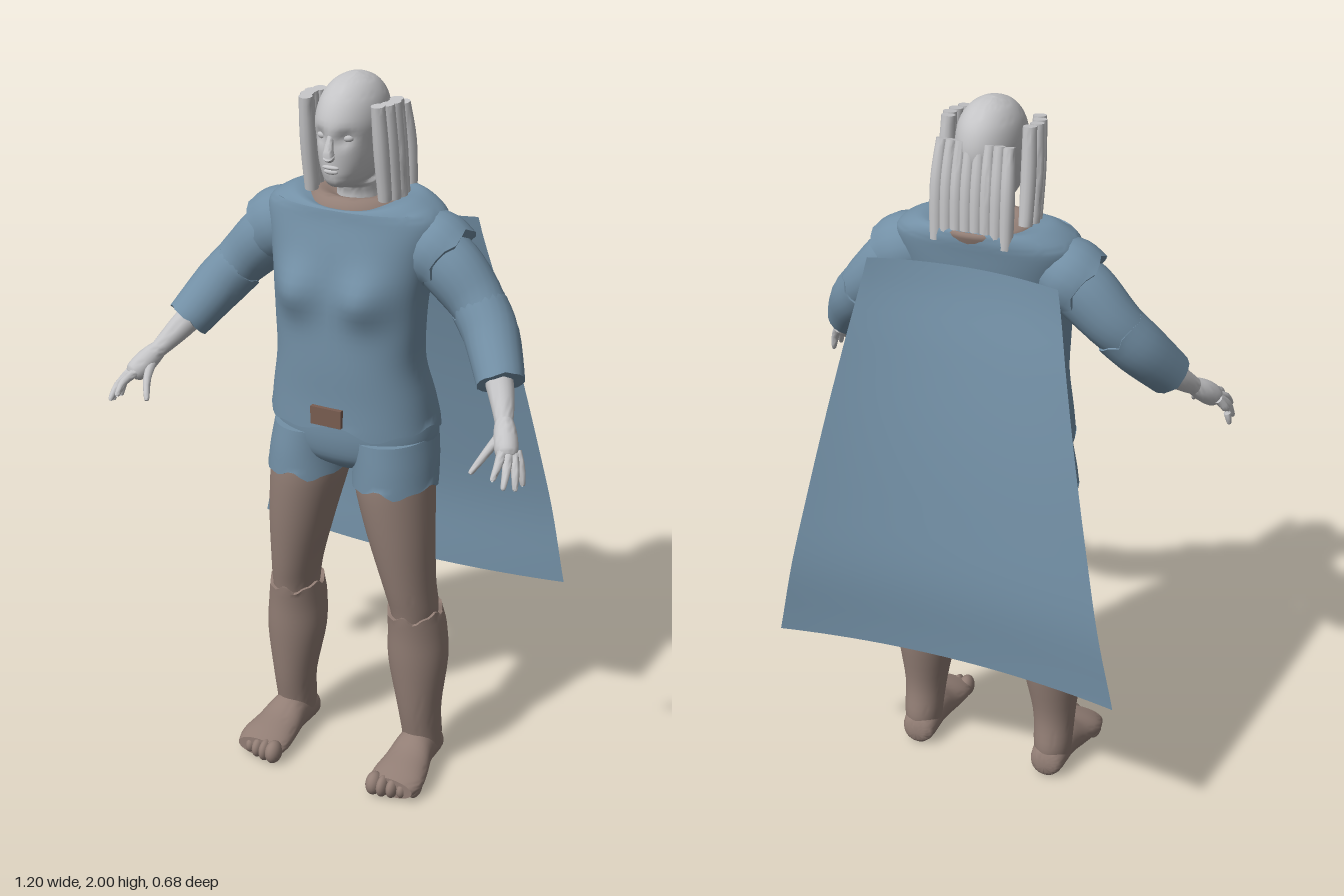
import * as THREE from 'three';
import { toCreasedNormals } from 'three/addons/utils/BufferGeometryUtils.js';

const material = (name, color) => {
  const m = new THREE.MeshStandardMaterial({ color, side: THREE.DoubleSide });
  m.name = name;
  return m;
};
const V = (x, y, z) => new THREE.Vector3(x, y, z);

// Catmull-Rom resampling of rows of numbers, n steps between rows
function smoothRows(rows, n) {
  const out = [];
  const at = (i) => rows[Math.min(rows.length - 1, Math.max(0, i))];
  for (let i = 0; i < rows.length - 1; i++) {
    for (let k = 0; k < n; k++) {
      const t = k / n;
      out.push(rows[i].map((b, j) => {
        const a = at(i - 1)[j], c = at(i + 1)[j], d = at(i + 2)[j];
        return b + 0.5 * t * (c - a + t * (2 * a - 5 * b + 4 * c - d + t * (3 * (b - c) + d - a)));
      }));
    }
  }
  out.push(rows[rows.length - 1]);
  return out;
}

// Skin over closed rings of points
function skin(rings, capped) {
  const n = rings[0].length, pos = [], idx = [];
  rings.forEach((r) => r.forEach((p) => pos.push(p.x, p.y, p.z)));
  for (let i = 0; i < rings.length - 1; i++) {
    for (let j = 0; j < n; j++) {
      const a = i * n + j, b = i * n + (j + 1) % n;
      idx.push(a, a + n, b, b, a + n, b + n);
    }
  }
  if (capped) {
    [0, rings.length - 1].forEach((e, top) => {
      const c = rings[e].reduce((s, p) => s.add(p), V(0, 0, 0)).divideScalar(n);
      const ci = pos.length / 3;
      pos.push(c.x, c.y, c.z);
      for (let j = 0; j < n; j++) {
        const a = e * n + j, b = e * n + (j + 1) % n;
        idx.push(ci, top ? b : a, top ? a : b);
      }
    });
  }
  const g = new THREE.BufferGeometry();
  g.setAttribute('position', new THREE.Float32BufferAttribute(pos, 3));
  g.setIndex(idx);
  return toCreasedNormals(g, 0.9);
}

// Upright body: rows of [y, centre x, half width, front z, back z], bottom to top
function loft(rows, { seg = 40, power = 1, capped = true, deform } = {}) {
  const soft = (v) => Math.sign(v) * Math.abs(v) ** power;
  const rs = smoothRows(rows, 4);
  return skin(rs.map(([y, c, r, f, b], i) => Array.from({ length: seg }, (_, j) => {
    const a = j / seg * Math.PI * 2;
    const p = V(c + r * soft(Math.cos(a)), y, (f + b) / 2 + (f - b) / 2 * soft(Math.sin(a)));
    if (deform) deform(p, a, i / (rs.length - 1));
    return p;
  })), capped);
}

// Round limb through rows of [x, y, z, radius], with optional ragged ends
function limb(rows, { seg = 20, steps = 4, ragStart = 0, ragEnd = 0 } = {}) {
  const rs = smoothRows(rows, steps), P = rs.map((r) => V(r[0], r[1], r[2]));
  const last = rs.length - 1;
  return skin(rs.map((r, i) => {
    const T = P[Math.min(last, i + 1)].clone().sub(P[Math.max(0, i - 1)]).normalize();
    const u = (Math.abs(T.y) > 0.9 ? V(1, 0, 0) : V(0, 1, 0)).cross(T).normalize();
    const w = u.clone().cross(T);
    const rag = i === 0 ? ragStart : i === last ? ragEnd : 0;
    return Array.from({ length: seg }, (_, j) => {
      const a = j / seg * Math.PI * 2;
      return P[i].clone().addScaledVector(u, Math.cos(a) * r[3]).addScaledVector(w, Math.sin(a) * r[3])
        .addScaledVector(T, rag * ragged(a));
    });
  }), true);
}
const ragged = (a) => 0.6 * Math.sin(5 * a) + 0.4 * Math.sin(9 * a + 1);

export function createModel() {
  const root = new THREE.Group();
  root.name = 'cloakedFigure';
  const skinMat = material('pale grey', 0xc4c4c6);
  const cloth = material('slate blue', 0x7390a6);
  const leather = material('dusty brown', 0x927e75);
  const buckleMat = material('dark brown', 0x795d51);
  const add = (name, geo, mat) => {
    const m = new THREE.Mesh(geo, mat);
    m.name = name;
    root.add(m);
    return m;
  };
  const ball = (name, mat, x, y, z, sx, sy, sz) => {
    const m = add(name, new THREE.SphereGeometry(1, 20, 14), mat);
    m.position.set(x, y, z);
    m.scale.set(sx, sy, sz);
    return m;
  };

  // Head and neck, with sockets hollowed into the face
  add('head', loft([
    [1.64, 0, .065, .05, -.085], [1.70, 0, .054, .052, -.075], [1.718, 0, .052, .07, -.07],
    [1.728, 0, .044, .12, -.07], [1.75, 0, .058, .138, -.073], [1.79, 0, .072, .143, -.085],
    [1.84, 0, .081, .145, -.104], [1.89, 0, .086, .148, -.111], [1.94, 0, .077, .127, -.098],
    [1.975, 0, .055, .092, -.068], [1.993, 0, .028, .05, -.03], [2, 0, .004, .014, .006],
  ], {
    deform: (p) => {
      if (p.z > 0.05) p.z -= 0.018 * Math.exp(-((Math.abs(p.x) - .034) ** 2 / .0003 + (p.y - 1.858) ** 2 / .0003));
    },
  }), skinMat);
  add('nose', limb([[0, 1.868, .138, .008], [0, 1.84, .148, .011], [0, 1.818, .152, .015], [0, 1.808, .142, .012]]), skinMat);
  ball('upperLip', skinMat, 0, 1.784, .141, .024, .006, .008);
  ball('lowerLip', skinMat, 0, 1.773, .14, .02, .007, .008);

  // Undershirt collar
  add('collar', loft([[1.6, 0, .15, .1, -.13], [1.655, 0, .14, .11, -.14], [1.69, 0, .115, .085, -.145], [1.68, 0, .06, .05, -.08]]), leather);

  // Tunic, ragged at the hem and dipping at the neck
  add('tunic', loft([
    [1.07, 0, .236, .168, -.158], [1.15, 0, .224, .166, -.135], [1.25, 0, .205, .168, -.105],
    [1.35, 0, .207, .166, -.095], [1.45, 0, .213, .16, -.105], [1.55, 0, .232, .148, -.128],
    [1.63, 0, .25, .128, -.138], [1.665, 0, .228, .122, -.142], [1.69, 0, .175, .112, -.138],
    [1.685, 0, .125, .092, -.12],
  ], {
    seg: 64, power: .85, capped: false,
    deform: (p, a, t) => {
      if (p.z > 0) p.z += .042 * Math.exp(-((Math.abs(p.x) - .1) ** 2 + (p.y - 1.45) ** 2) / .0045);
      if (t === 0) p.y += .018 * ragged(a);
      if (t > .8) p.y -= .025 * Math.max(0, Math.sin(a)) ** 2;
    },
  }), cloth);

  // Buckle and back pouch
  add('buckle', new THREE.BoxGeometry(.09, .05, .02), buckleMat).position.set(0, 1.115, .168);
  ball('backPouch', leather, 0, 1.3, -.115, .13, .125, .075).rotation.x = .3;

  // Shorts seat
  add('shortsSeat', loft([
    [.93, 0, .06, .08, -.06], [.97, 0, .2, .13, -.125], [1.03, 0, .229, .148, -.152], [1.1, 0, .222, .15, -.145],
  ], { power: .9 }), cloth);

  for (const s of [1, -1]) {
    const side = s > 0 ? 'left' : 'right';
    const flip = (rows, k) => rows.map((r) => r.map((v, i) => (i === k ? s * v : v)));

    // Eyes
    ball(side + 'Eye', skinMat, s * .034, 1.858, .113, .017, .011, .013);

    // Shorts leg, thigh, shin
    add(side + 'ShortsLeg', loft(flip([
      [.905, .13, .114, .155, -.108], [.97, .126, .112, .153, -.13], [1.04, .115, .112, .148, -.145],
    ], 1), { deform: (p, a, t) => { if (t === 0) p.y += .014 * ragged(a); } }), cloth);
    add(side + 'Thigh', loft(flip([
      [.46, .188, .058, .085, -.07], [.52, .187, .064, .095, -.068], [.6, .176, .071, .112, -.062],
      [.75, .153, .091, .136, -.072], [.9, .13, .107, .149, -.1], [.98, .125, .105, .14, -.115],
    ], 1)), leather);
    add(side + 'Shin', loft(flip([
      [.06, .205, .052, .05, -.07], [.1, .205, .055, .052, -.075], [.2, .202, .061, .072, -.066],
      [.35, .195, .083, .09, -.09], [.45, .191, .079, .096, -.095], [.51, .187, .072, .102, -.08],
    ], 1), { deform: (p, a, t) => { if (t === 1) p.y += .014 * ragged(a); } }), leather);

    // Foot: rows run heel to toe as [z, x, half width, -sole, -top], then tip forward
    add(side + 'Foot', loft(flip([
      [-.08, .203, .022, -.02, -.065], [-.06, .203, .048, -.004, -.1], [.03, .206, .055, -.003, -.13],
      [.1, .211, .068, -.003, -.1], [.16, .214, .077, -.004, -.082], [.205, .212, .068, -.008, -.066],
    ], 1)).rotateX(Math.PI / 2), leather);
    for (let i = 0; i < 5; i++) {
      ball(side + 'Toe' + (i + 1), leather, s * (.163 + i * .027), .038 - i * .002, .205 - i * i * .0025,
        i ? .017 : .023, .034 - i * .002, .032);
    }

    // Shoulder cap and two-part sleeve
    const arm = (name, rows, mat, opt) => add(side + name, limb(flip(rows, 0), opt), mat);
    arm('ShoulderCap', [[.17, 1.585, -.01, .085], [.22, 1.565, -.01, .1], [.262, 1.54, -.008, .096]], cloth, { ragEnd: .014 });
    arm('UpperSleeve', [[.2, 1.57, -.01, .08], [.27, 1.52, -.006, .083], [.34, 1.45, 0, .074], [.4, 1.385, .025, .064]], cloth);
    arm('LowerSleeve', [[.355, 1.43, .004, .074], [.405, 1.37, .035, .072], [.465, 1.28, .105, .062]], cloth, { ragStart: .012, ragEnd: .004 });

    // Forearm, palm and fingers
    arm('Forearm', [[.42, 1.34, .06, .042], [.475, 1.265, .125, .034], [.512, 1.212, .185, .023]], skinMat);
    arm('Palm', [[.508, 1.218, .178, .022], [.527, 1.193, .21, .03], [.547, 1.163, .245, .029], [.553, 1.153, .256, .016]], skinMat);
    const fingers = [
      [.567, 1.163, .228, .595, 1.09, .25], [.565, 1.16, .243, .592, 1.093, .29],
      [.556, 1.16, .258, .576, 1.108, .326], [.541, 1.165, .262, .55, 1.128, .332],
      [.512, 1.185, .218, .478, 1.118, .3],
    ];
    fingers.forEach(([x, y, z, X, Y, Z], i) => arm('Finger' + (i + 1), [
      [x, y, z, .013], [(x + X) / 2 + .004, (y + Y) / 2 + .006, (z + Z) / 2 + .004, .011],
      [X, Y, Z, .007], [X, Y - .003, Z + .002, .002],
    ], skinMat, { seg: 10, steps: 3 }));

    // Side hair strands
    for (let i = 0; i < 4; i++) {
      const z = .083 - i * .029, x = .102 + [0, .012, .016, .008][i];
      arm('HairStrand' + (i + 1), [[x, 1.94, z, .018], [x + .003, 1.82, z - .014, .02], [x + .004, 1.69, z - .034, .018]],
        skinMat, { seg: 12 });
    }
  }

  // Hair strands at the back
  for (let i = 0; i < 8; i++) {
    const x = (i - 3.5) * .027;
    add('backHairStrand' + (i + 1), limb([
      [x * .95, 1.91, -.088, .015], [x, 1.8, -.11, .019], [x, 1.655, -.12, .018],
    ], { seg: 12 }), skinMat);
  }

  // Cape: a curved sheet that widens and sweeps back toward the hem
  const cape = new THREE.PlaneGeometry(2, 1, 24, 24), p = cape.attributes.position;
  const sweep = smoothRows([[-.145], [-.195], [-.238], [-.27], [-.292], [-.284]], 24);
  for (let i = 0; i < p.count; i++) {
    const u = p.getX(i), t = .5 - p.getY(i);
    const z = sweep[Math.round(t * (sweep.length - 1))][0];
    p.setXYZ(i, u * (.26 + .23 * t), 1.6 - 1.1 * t, z - (.04 + .01 * t ** 4) * u * u);
  }
  cape.computeVertexNormals();
  add('cape', cape, cloth);

  return root;
}
